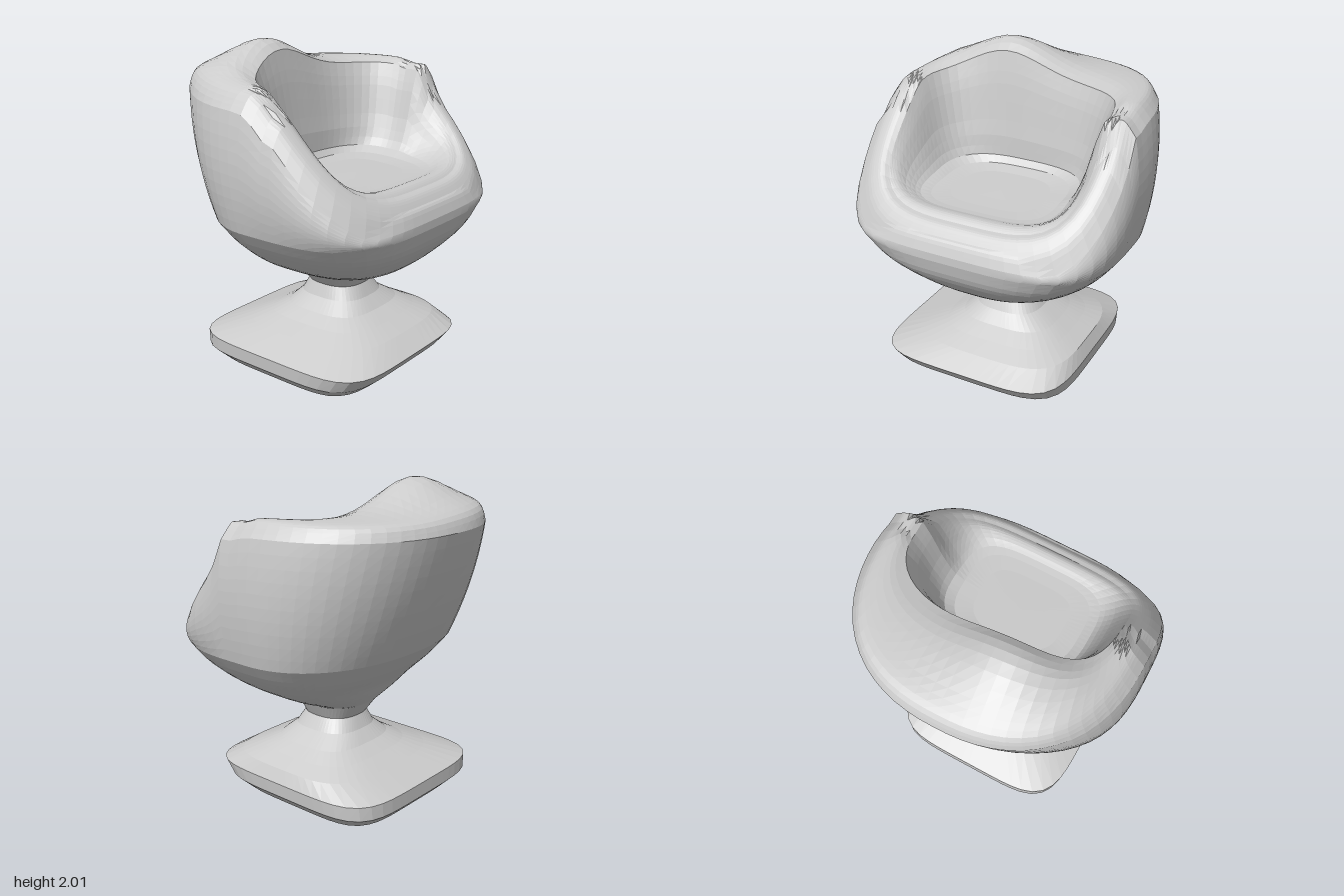
import * as THREE from 'three';

const SEG = 64;
const material = new THREE.MeshStandardMaterial({ color: 0xcccccc, flatShading: true, side: THREE.DoubleSide });
const { lerp } = THREE.MathUtils;

// Rounded-square ring; nFront and nBack set how square its two halves are
function ring(height, x0, x1, z0, z1, nFront, nBack = nFront, cx = (x0 + x1) / 2) {
  return Array.from({ length: SEG }, (_, i) => {
    const a = (i / SEG) * Math.PI * 2, c = Math.cos(a), s = Math.sin(a);
    const n = c < 0 ? nBack : nFront;
    const r = 1 / Math.pow(Math.abs(c) ** n + Math.abs(s) ** n, 1 / n);
    const x = cx + r * c * (c > 0 ? x1 - cx : cx - x0);
    const z = (z0 + z1) / 2 + r * s * (z1 - z0) / 2;
    return [x, height(x, z), z];
  });
}

// Skin a stack of rings
function loft(name, rings) {
  const idx = [];
  for (let k = 0; k < rings.length - 1; k++) {
    for (let i = 0; i < SEG; i++) {
      const a = k * SEG + i, b = k * SEG + (i + 1) % SEG;
      idx.push(a, a + SEG, b, b, a + SEG, b + SEG);
    }
  }
  const g = new THREE.BufferGeometry();
  g.setAttribute('position', new THREE.Float32BufferAttribute(rings.flat(2), 3));
  g.setIndex(idx);
  g.computeVertexNormals();
  const mesh = new THREE.Mesh(g, material);
  mesh.name = name;
  return mesh;
}

// Smoothly resample rows of key values, giving each row to make(row, t)
function sweep(rows, steps, make) {
  const curve = new THREE.CubicInterpolant(rows.map((_, i) => i), rows.flat(), rows[0].length);
  return Array.from({ length: steps + 1 }, (_, k) =>
    make([...curve.evaluate((k / steps) * (rows.length - 1))], k / steps));
}

// Rim height: level around the back, arms sloping to the front, a raised corner on the right arm
function rim(x, z) {
  const slope = 1.91 - 1.03 * x;
  const corner = z < -0.3 ? 1.82 - 2.2 * Math.max(0, x - 0.2) : 0;
  const arm = Math.max(slope, corner);
  const soft = (1.84 + arm - Math.hypot(1.84 - arm, 0.05)) / 2;
  return Math.max(1.14, soft) - 0.2 * Math.max(0, z - 0.6) * (x < 0.2 ? 1 : 0);
}

// Rim with the uneven headrest bulge
const crest = (x, z) => rim(x, z)
  + 0.18 * Math.exp(-(((x + 0.33) / (x < -0.33 ? 0.3 : 0.2)) ** 2) - ((z - 0.2) / 0.34) ** 2);

// Seat surface, falling gently to the front lip
const seat = x => 1.235 - 0.06 * x;

export function createModel() {
  const group = new THREE.Group();

  // Flared foot, square with rounded corners: y, x range, z range
  const foot = [
    [0, 0, 0, 0, 0],
    [0, -0.54, 0.54, -0.5, 0.58],
    [0.08, -0.62, 0.63, -0.58, 0.66],
    [0.17, -0.62, 0.7, -0.59, 0.67],
    [0.25, -0.43, 0.57, -0.55, 0.48],
    [0.3, -0.32, 0.46, -0.45, 0.36],
    [0.35, -0.23, 0.36, -0.36, 0.27],
    [0.42, -0.16, 0.29, -0.25, 0.19],
    [0.5, -0.12, 0.25, -0.2, 0.16],
  ];
  group.add(loft('base', foot.map(([y, ...size]) => ring(() => y, ...size, y < 0.2 ? 5 : 5 - y * 5))));

  // Waist joining foot and seat
  group.add(loft('neck', [
    ring(() => 0.5, -0.12, 0.25, -0.2, 0.16, 2.5),
    ring(() => 0.59, -0.18, 0.3, -0.25, 0.24, 2.3),
  ]));

  const shell = new THREE.Group();
  shell.name = 'seatShell';
  group.add(shell);

  // Bowl under the seat: y, back, front, half width
  const bowl = [
    [0.59, -0.18, 0.3, 0.245],
    [0.67, -0.25, 0.54, 0.43],
    [0.76, -0.32, 0.66, 0.59],
    [0.88, -0.44, 0.76, 0.73],
    [1, -0.54, 0.8, 0.825],
  ];
  shell.add(loft('bowl', sweep(bowl, 12, ([y, back, front, half], t) =>
    ring(() => y, back, front, -half, half, lerp(2.3, 3.8, t), 2.3, 0.05))));

  // Outer wall, leaning back and swelling at mid height
  shell.add(loft('outerWall', Array.from({ length: 11 }, (_, k) => {
    const t = k / 10, half = 0.825 + 0.01 * t + 0.16 * t * (1 - t);
    return ring((x, z) => lerp(1, rim(x, z) - 0.09, t),
      -0.54 - 0.37 * t + 0.1 * t * t, 0.8, -half, half, 3.8, 2.3, 0.05);
  })));

  // Rolled rim, thick at the back: drop, back, front, half width, centre
  const roll = [
    [-0.09, -0.81, 0.8, 0.835, 0.05],
    [-0.02, -0.76, 0.77, 0.775, 0.05],
    [0, -0.62, 0.735, 0.735, 0.07],
    [0, -0.4, 0.7, 0.69, 0.14],
    [-0.03, -0.24, 0.66, 0.65, 0.2],
  ];
  shell.add(loft('rim', sweep(roll, 12, ([drop, back, front, half, cx], t) =>
    ring((x, z) => (t ? crest(x, z) : rim(x, z)) + drop,
      back, front, -half, lerp(half, half - 0.02, t), 3.8, lerp(2.3, 3, t), cx))));

  // Inside of the tub down to the seat: height share, back, front, half width
  const tub = [
    [1, -0.24, 0.66, 0.65],
    [0.75, -0.2, 0.63, 0.6],
    [0.28, -0.15, 0.58, 0.52],
    [0.02, -0.11, 0.5, 0.4],
    [0, 0.2, 0.2, 0],
  ];
  shell.add(loft('inside', sweep(tub, 12, ([share, back, front, half], t) =>
    ring((x, z) => lerp(seat(x), crest(x, z) - 0.03, share),
      back, front, -half, half - 0.02 * (1 - t), 3.8, 3, 0.2))));

  return group;
}
